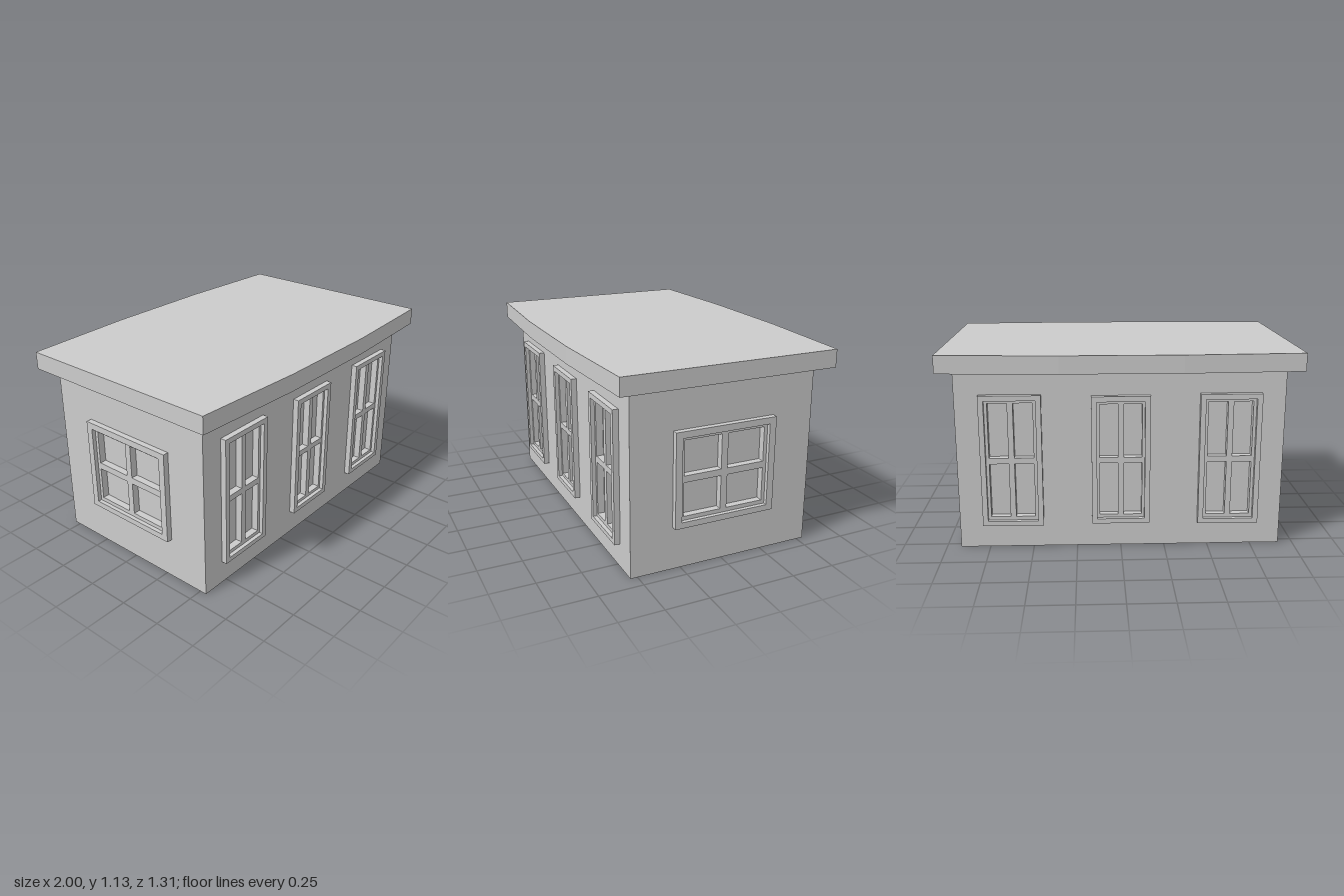
import * as THREE from 'three';

const HALF_X = 0.918, HALF_Z = 0.54, WALL_TOP = 1.03, RECESS = 0.03;
const material = new THREE.MeshStandardMaterial({ color: 0xcccccc, flatShading: true });

function rectPoints([x0, x1, y0, y1]) {
  return [[x0, y0], [x1, y0], [x1, y1], [x0, y1]].map(([x, y]) => new THREE.Vector2(x, y));
}

// A flat panel with rectangular holes, running from z = back to z = front
function panel(name, outer, holes, back, front) {
  const shape = new THREE.Shape(rectPoints(outer));
  for (const hole of holes) shape.holes.push(new THREE.Path(rectPoints(hole).reverse()));
  const geometry = new THREE.ExtrudeGeometry(shape, { depth: front - back, bevelEnabled: false });
  const mesh = new THREE.Mesh(geometry.translate(0, 0, back), material);
  mesh.name = name;
  return mesh;
}

// Raised casing around a four-pane sash set into the wall
function makeWindow({ x, outer, inner, px, py }) {
  const group = new THREE.Group();
  group.name = 'window';
  group.position.x = x;
  const panes = [];
  for (const [y0, y1] of py) {
    panes.push([-px[1], -px[0], y0, y1], [px[0], px[1], y0, y1]);
  }
  group.add(
    panel('windowCasing', outer, [inner], 0, 0.033),
    panel('windowSash', inner, panes, -RECESS, 0.01)
  );
  return group;
}

// One wall with its windows; local z = 0 is the outer face
function makeWall(name, halfWidth, windows) {
  const group = new THREE.Group();
  group.name = name;
  const holes = windows.map(({ x, inner: [a, b, c, d] }) => [x + a, x + b, c, d]);
  group.add(panel('wallPanel', [-halfWidth, halfWidth, 0, WALL_TOP], holes, -RECESS, 0));
  windows.forEach(w => group.add(makeWindow(w)));
  return group;
}

export function createModel() {
  const model = new THREE.Group();
  model.name = 'cabin';

  const tall = {
    outer: [-0.172, 0.172, 0.138, 0.897], inner: [-0.142, 0.142, 0.165, 0.867],
    px: [0.016, 0.125], py: [[0.186, 0.5], [0.534, 0.85]]
  };
  const middle = {
    x: 0, outer: [-0.164, 0.164, 0.145, 0.888], inner: [-0.134, 0.134, 0.173, 0.857],
    px: [0.016, 0.119], py: [[0.192, 0.5], [0.532, 0.84]]
  };
  const wide = {
    x: 0, outer: [-0.297, 0.297, 0.246, 0.787], inner: [-0.258, 0.258, 0.28, 0.75],
    px: [0.019, 0.238], py: [[0.303, 0.495], [0.533, 0.73]]
  };

  // Solid core, whose faces are the window panes
  const core = new THREE.Mesh(
    new THREE.BoxGeometry(2 * (HALF_X - RECESS), WALL_TOP, 2 * (HALF_Z - RECESS)), material);
  core.name = 'buildingCore';
  core.position.y = WALL_TOP / 2;
  model.add(core);

  // Front and back walls, then the two ends
  const longWindows = [{ ...tall, x: -0.612 }, middle, { ...tall, x: 0.612 }];
  for (const side of [1, -1]) {
    const long = makeWall(side > 0 ? 'frontWall' : 'backWall', HALF_X, longWindows);
    long.position.z = side * HALF_Z;
    long.rotation.y = side > 0 ? 0 : Math.PI;
    const end = makeWall(side > 0 ? 'leftWall' : 'rightWall', HALF_Z - RECESS, [wide]);
    end.position.x = side * HALF_X;
    end.rotation.y = side * Math.PI / 2;
    model.add(long, end);
  }

  // Flat roof slab with gently bowed long edges
  const bow = [[-1, 0.621], [-0.335, 0.654], [0.335, 0.654], [1, 0.621]];
  const outline = [
    ...bow.map(([x, z]) => new THREE.Vector2(x, -z)),
    ...bow.slice().reverse().map(([x, z]) => new THREE.Vector2(x, z))
  ];
  const roofGeometry = new THREE.ExtrudeGeometry(new THREE.Shape(outline), { depth: 0.1, bevelEnabled: false });
  roofGeometry.rotateX(-Math.PI / 2);
  const roof = new THREE.Mesh(roofGeometry, material);
  roof.name = 'roof';
  roof.position.y = WALL_TOP;
  model.add(roof);

  return model;
}
